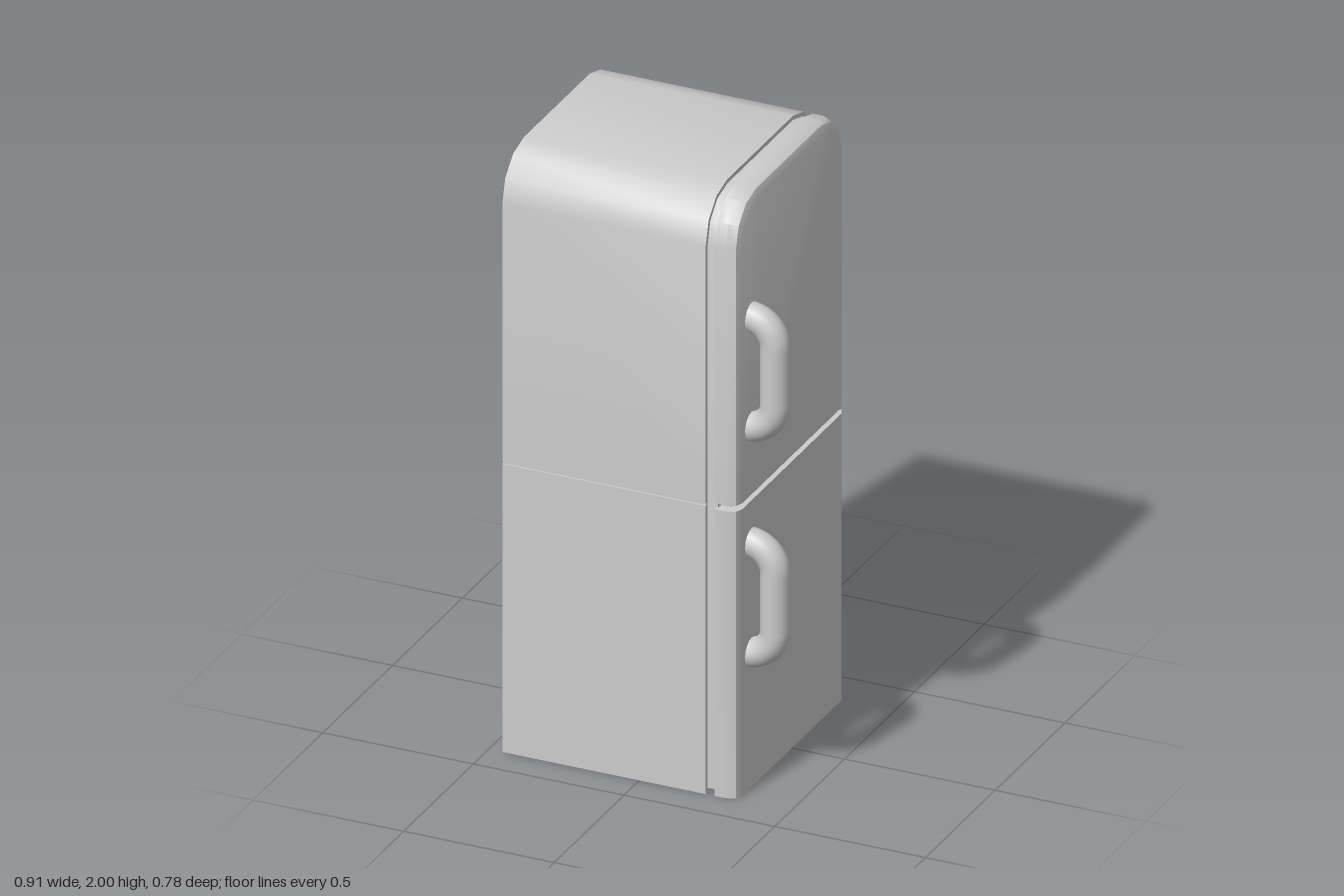
import * as THREE from 'three';
import { toCreasedNormals } from 'three/addons/utils/BufferGeometryUtils.js';

const HALF = 0.39, TOP = 2, RADIUS = 0.155;

// Cross-section in [z, y]; an arched one has rounded upper corners
function outline(inset, y0, y1, arched) {
  const h = HALF - inset;
  if (!arched) return [[h, y0], [-h, y0], [-h, y1], [h, y1]];
  const pts = [[h, y0], [-h, y0]];
  const r = RADIUS - inset, c = HALF - RADIUS;
  for (const [side, start] of [[-1, 0], [1, Math.PI / 2]]) {
    for (let i = 0; i <= 3; i++) {
      const a = start + (i / 3) * Math.PI / 2;
      pts.push([side * c - r * Math.cos(a), y1 - RADIUS + r * Math.sin(a)]);
    }
  }
  return pts;
}

// Closed loft along x through stations of [x, inset]
function loft(stations, y0, y1, arched) {
  const rings = stations.map(([x, inset]) =>
    outline(inset, y0, y1, arched).map(([z, y]) => [x, y, z]));
  const pos = [];
  const tri = (a, b, c) => pos.push(...a, ...b, ...c);
  const n = rings[0].length;
  for (let k = 0; k < rings.length - 1; k++) {
    const a = rings[k], b = rings[k + 1];
    for (let i = 0; i < n; i++) {
      const j = (i + 1) % n;
      tri(a[i], a[j], b[j]);
      tri(a[i], b[j], b[i]);
    }
  }
  const back = rings[0], front = rings[rings.length - 1];
  for (let i = 1; i < n - 1; i++) {
    tri(back[0], back[i + 1], back[i]);
    tri(front[0], front[i], front[i + 1]);
  }
  const geo = new THREE.BufferGeometry();
  geo.setAttribute('position', new THREE.Float32BufferAttribute(pos, 3));
  return toCreasedNormals(geo, 0.6);
}

// Bracket-shaped pull with rounded bends, its ends sunk into the door
function handleGeometry() {
  const v = (x, y) => new THREE.Vector3(x, y, 0);
  const path = new THREE.CurvePath();
  const root = 0.29, bend = 0.315, out = 0.405, h = 0.185, s = 0.095, k = 0.05;
  path.add(new THREE.LineCurve3(v(root, h), v(bend, h)));
  path.add(new THREE.CubicBezierCurve3(v(bend, h), v(bend + k, h), v(out, s + k), v(out, s)));
  path.add(new THREE.LineCurve3(v(out, s), v(out, -s)));
  path.add(new THREE.CubicBezierCurve3(v(out, -s), v(out, -s - k), v(bend + k, -h), v(bend, -h)));
  path.add(new THREE.LineCurve3(v(bend, -h), v(root, -h)));
  return new THREE.TubeGeometry(path, 40, 0.047, 16, false);
}

export function createModel() {
  const model = new THREE.Group();
  model.name = 'refrigerator';
  const material = new THREE.MeshStandardMaterial({ color: 0xcccccc });
  const add = (name, geometry) => {
    const mesh = new THREE.Mesh(geometry, material);
    mesh.name = name;
    model.add(mesh);
    return mesh;
  };

  // Cabinet halves, with a shallow seam between them
  const cabinet = [[-0.455, 0], [0.22, 0]];
  add('lowerCabinet', loft(cabinet, 0, 0.97, false));
  add('upperCabinet', loft(cabinet, 0.98, TOP, true));
  add('cabinetSeam', loft([[-0.455, 0.006], [0.22, 0.006]], 0.97, 0.98, false));

  // Recessed gasket between cabinet and doors
  add('gasket', loft([[0.215, 0.014], [0.255, 0.014]], 0.015, TOP, true));

  // Doors, softened around the front edge, with a deeper slot between them
  const door = [[0.25, 0], [0.285, 0], [0.315, 0.011], [0.325, 0.036]];
  add('lowerDoor', loft(door, 0, 0.965, false));
  add('upperDoor', loft(door, 0.985, TOP, true));
  add('doorSlot', loft([[0.25, 0.034], [0.288, 0.034]], 0.96, 0.99, false));

  // Handles
  const pull = handleGeometry();
  add('lowerHandle', pull).position.set(0, 0.64, 0.288);
  add('upperHandle', pull).position.set(0, 1.4, 0.288);

  return model;
}
